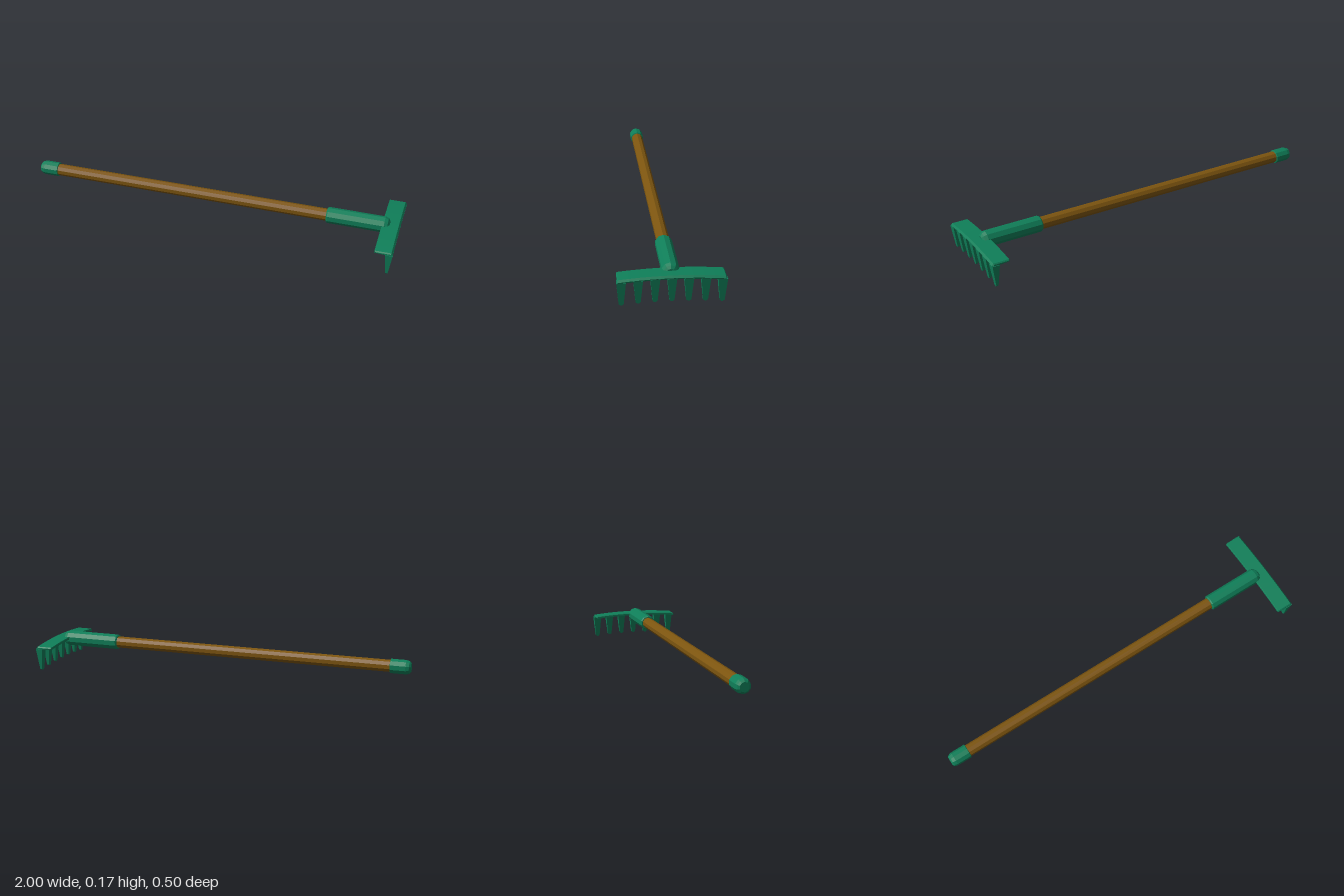
import * as THREE from 'three';

const AXIS_Y = 0.134;

// Ten-sided turned part lying along x, from [x, radius] pairs
function turned(name, profile, material) {
  const points = profile.map(([x, r]) => new THREE.Vector2(r, x));
  const geometry = new THREE.LatheGeometry(points, 10, -Math.PI / 2);
  geometry.rotateZ(-Math.PI / 2);
  const mesh = new THREE.Mesh(geometry, material);
  mesh.name = name;
  mesh.position.y = AXIS_Y;
  return mesh;
}

const shapeFrom = (pairs) => new THREE.Shape(pairs.map(([x, y]) => new THREE.Vector2(x, y)));

// The head sags towards both ends
const sag = (z) => 0.012 * (z / 0.24) ** 2;

export function createModel() {
  const green = new THREE.MeshStandardMaterial({ color: 0x0f7f59, flatShading: true });
  green.name = 'green paint';
  const brown = new THREE.MeshStandardMaterial({ color: 0x7d550f, flatShading: true });
  brown.name = 'brown wood';

  const group = new THREE.Group();
  group.name = 'rake';

  // Shaft with an end cap and a socket
  group.add(turned('shaft', [[-0.92, 0.032], [0.66, 0.032]], brown));
  group.add(turned('endCap', [
    [-1, 0], [-1, 0.024], [-0.992, 0.033], [-0.975, 0.038], [-0.897, 0.038], [-0.895, 0.032], [-0.895, 0],
  ], green));
  group.add(turned('socket', [
    [0.617, 0], [0.617, 0.037], [0.623, 0.042], [0.917, 0.042], [0.934, 0.035], [0.943, 0.022], [0.943, 0],
  ], green));

  // Head: a thin plate with a chamfered front edge, bent along z
  const plate = new THREE.ExtrudeGeometry(shapeFrom([
    [0.905, 0.133], [0.96, 0.129], [0.993, 0.128], [0.997, 0.136], [0.989, 0.146], [0.907, 0.146], [0.905, 0.143],
  ]), {
    depth: 0.482, steps: 10, bevelEnabled: true, bevelSegments: 1,
    bevelSize: 0.005, bevelThickness: 0.005, bevelOffset: -0.005,
  });
  plate.translate(0, 0, -0.241);
  const p = plate.attributes.position;
  for (let i = 0; i < p.count; i++) p.setY(i, p.getY(i) - sag(p.getZ(i)));
  const headPlate = new THREE.Mesh(plate, green);
  headPlate.name = 'headPlate';
  group.add(headPlate);

  // Tooth: outline seen from the end, thinned towards the tip
  const tooth = new THREE.ExtrudeGeometry(shapeFrom([
    [-0.0215, 0.132], [-0.0115, 0.0195], [-0.003, 0.0125], [0.003, 0.0125], [0.0115, 0.0195], [0.0215, 0.132],
  ]), { depth: 1, bevelEnabled: false });
  tooth.rotateY(Math.PI / 2);
  const t = tooth.attributes.position;
  for (let i = 0; i < t.count; i++) {
    const k = (t.getY(i) - 0.012) / 0.12;
    const back = THREE.MathUtils.lerp(0.97, 0.959, k);
    const front = THREE.MathUtils.lerp(0.98, 0.997, k);
    t.setX(i, t.getX(i) > 0.5 ? front : back);
  }
  for (let i = -3; i <= 3; i++) {
    const mesh = new THREE.Mesh(tooth, green);
    mesh.name = 'tooth';
    mesh.position.set(0, -sag(i * 0.076), i * 0.076);
    group.add(mesh);
  }
  return group;
}
